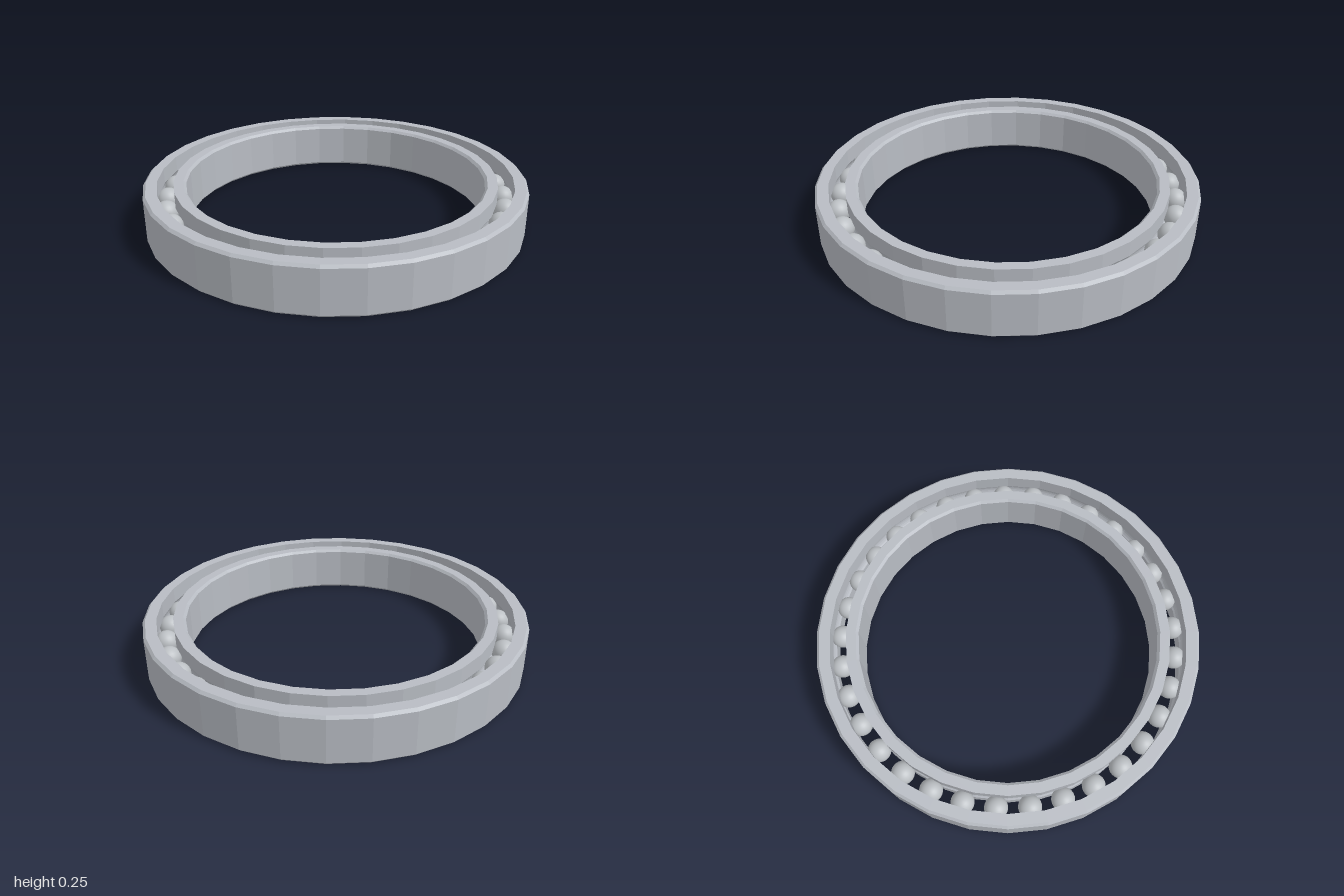
import * as THREE from 'three';

const HEIGHT = 0.25;
const MID = HEIGHT / 2;
const PITCH = 0.888; // radius of the circle of balls
const BALL = 0.06;
const BALL_COUNT = 33;
const SIDES = 32;

// Points of a raceway groove at radius edge, from angle a to angle b around the ball centre
function groove(edge, start, direction) {
  const half = Math.acos(Math.abs(edge - PITCH) / BALL);
  const steps = 8;
  return Array.from({ length: steps + 1 }, (_, i) => {
    const a = start + direction * (-half + (2 * half * i) / steps);
    return [PITCH + BALL * Math.cos(a), MID + BALL * Math.sin(a)];
  });
}

// Revolve a closed profile (counter-clockwise in radius, height) into a faceted ring
function ring(name, profile, material) {
  const points = [...profile, profile[0]].map(([r, y]) => new THREE.Vector2(r, y));
  const geometry = new THREE.LatheGeometry(points, SIDES).toNonIndexed();
  geometry.computeVertexNormals();
  const mesh = new THREE.Mesh(geometry, material);
  mesh.name = name;
  return mesh;
}

export function createModel() {
  const ringSteel = new THREE.MeshStandardMaterial({ color: 0xb8bcc3 });
  ringSteel.name = 'ring steel';
  const ballSteel = new THREE.MeshStandardMaterial({ color: 0xbcc0c4 });
  ballSteel.name = 'ball steel';

  const model = new THREE.Group();
  model.name = 'ballBearing';
  const c = 0.013; // chamfer

  // Outer race: chamfered outside, grooved inside
  model.add(ring('outerRace', [
    [0.93, 0], [1 - c, 0], [1, c], [1, HEIGHT - c], [1 - c, HEIGHT], [0.93, HEIGHT],
    ...groove(0.93, 0, -1),
  ], ringSteel));

  // Inner race: grooved outside, chamfered bore
  model.add(ring('innerRace', [
    [0.782 + c, 0], [0.846, 0],
    ...groove(0.846, Math.PI, -1),
    [0.846, HEIGHT], [0.782 + c, HEIGHT], [0.782, HEIGHT - c], [0.782, c],
  ], ringSteel));

  // Balls spaced evenly, the first on +x
  const balls = new THREE.Group();
  balls.name = 'balls';
  const sphere = new THREE.SphereGeometry(BALL, 24, 16);
  for (let i = 0; i < BALL_COUNT; i++) {
    const a = (i / BALL_COUNT) * Math.PI * 2;
    const ball = new THREE.Mesh(sphere, ballSteel);
    ball.name = 'ball';
    ball.position.set(PITCH * Math.cos(a), MID, PITCH * Math.sin(a));
    balls.add(ball);
  }
  model.add(balls);
  return model;
}
